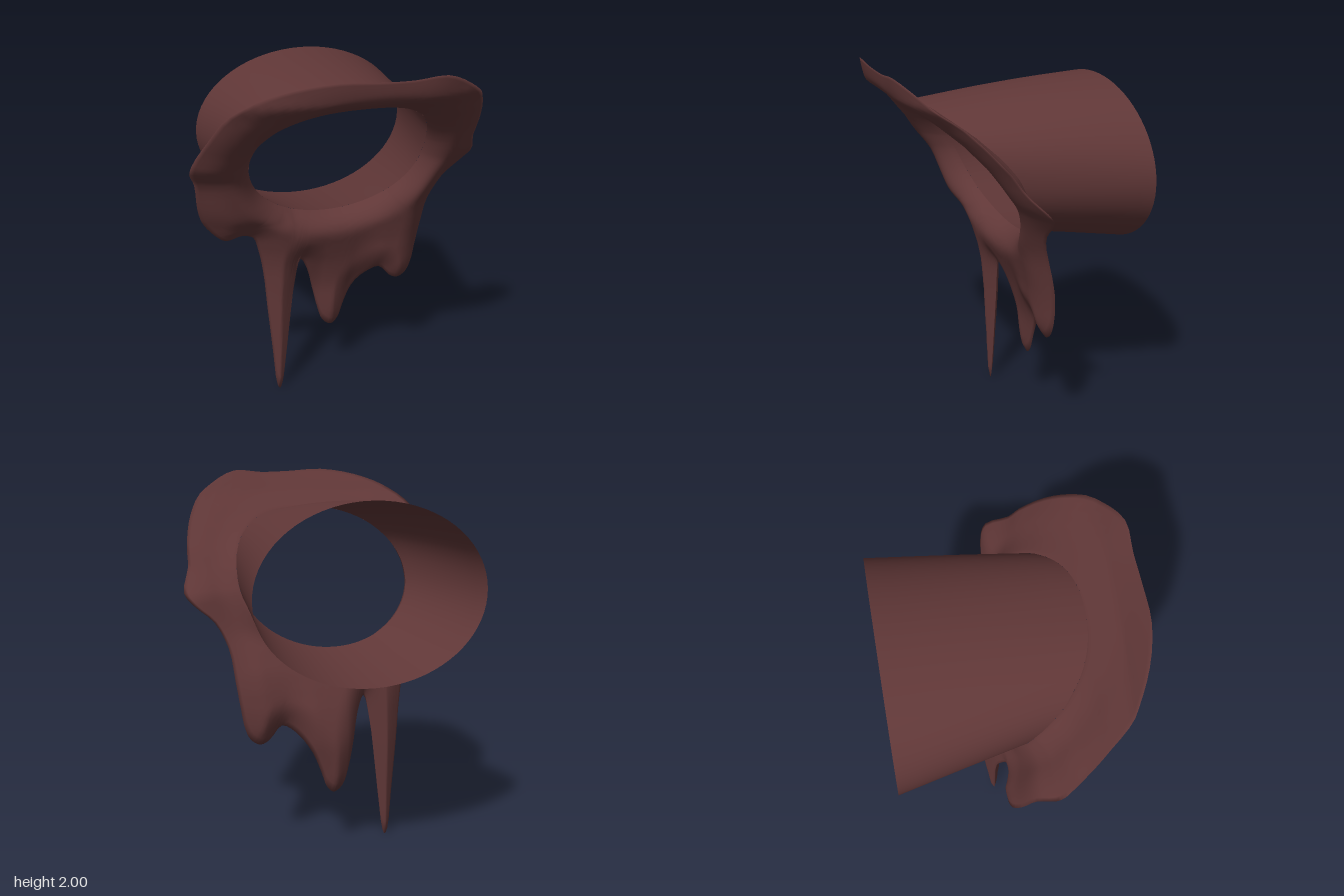
import * as THREE from 'three';

// Outer edge of the collar with its drips, clockwise from the top (x, y)
const OUTLINE = [
  -0.19, 2.0, 0, 1.99, 0.17, 1.985, 0.33, 1.995, 0.48, 1.93, 0.6, 1.84, 0.67, 1.73, 0.71, 1.6,
  0.72, 1.52, 0.77, 1.4, 0.73, 1.34, 0.63, 1.25, 0.57, 1.12, 0.55, 0.95, 0.53, 0.8, 0.51, 0.7,
  0.48, 0.64, 0.43, 0.61, 0.38, 0.63, 0.31, 0.7, 0.24, 0.66, 0.17, 0.56, 0.12, 0.44, 0.09, 0.36,
  0.05, 0.325, 0, 0.36, -0.03, 0.44, -0.07, 0.6, -0.11, 0.74, -0.155, 0.82, -0.19, 0.68, -0.22, 0.45,
  -0.25, 0.2, -0.275, 0.03, -0.29, 0, -0.305, 0.03, -0.325, 0.25, -0.35, 0.55, -0.37, 0.78, -0.4, 0.93,
  -0.43, 1.01, -0.49, 1.03, -0.57, 1.0, -0.62, 1.03, -0.69, 1.12, -0.72, 1.22, -0.74, 1.38, -0.775, 1.47,
  -0.77, 1.53, -0.71, 1.68, -0.63, 1.83, -0.53, 1.91, -0.38, 1.97,
];
// Depth of the collar's middle surface at each height (y, z)
const DEPTH = [
  [0, -0.11], [0.6, -0.11], [0.8, -0.1], [0.9, -0.085], [1.0, -0.06], [1.1, -0.03], [1.2, 0.015], [1.3, 0.055],
  [1.4, 0.095], [1.5, 0.145], [1.6, 0.215], [1.7, 0.305], [1.8, 0.425], [1.88, 0.545], [2.0, 0.64],
];
const CX = 0.012, CY = 1.45;
const { smoothstep, lerp } = THREE.MathUtils;

function depthAt(x, y) {
  let k = 0;
  while (k < DEPTH.length - 2 && y > DEPTH[k + 1][0]) k++;
  const [y0, z0] = DEPTH[k], [y1, z1] = DEPTH[k + 1];
  let z = lerp(z0, z1, (y - y0) / (y1 - y0));
  // Middle drip and the side lobes lean back, the top brim is bowed
  z -= 0.08 * (1 - smoothstep(y, 0.55, 1.05)) * (1 - smoothstep(Math.abs(x - 0.06), 0.08, 0.26));
  z -= 0.06 * smoothstep(Math.abs(x), 0.45, 0.75) * (1 - smoothstep(y, 1.35, 1.52));
  z -= 0.18 * (x - 0.1) ** 2 * smoothstep(y, 1.65, 1.95);
  return z;
}

// How far the collar rolls back into the sleeve at each height
const rollAt = (y) => lerp(0.07, 0.04, smoothstep(y, 1.5, 1.8));

// Point on the mouth opening in the direction of an outline point
function mouthPoint(p) {
  const a = Math.atan2(Math.max(p.y, 1.0) - CY, p.x - CX);
  const c = Math.cos(a), s = Math.sin(a), n = s > 0 ? 2.3 : 2;
  const r = (Math.abs(c / 0.475) ** n + Math.abs(s / 0.352) ** n) ** (-1 / n);
  return new THREE.Vector3(CX + r * c, CY + r * s, 0);
}

// Smooth surface through closed rings of equal length; columns[i][j]
function skin(columns) {
  const n = columns.length, m = columns[0].length, index = [];
  for (let i = 0; i < n; i++) {
    for (let j = 0; j < m - 1; j++) {
      const a = i * m + j, b = ((i + 1) % n) * m + j;
      index.push(a, b, b + 1, a, b + 1, a + 1);
    }
  }
  const g = new THREE.BufferGeometry().setFromPoints(columns.flat());
  g.setIndex(index);
  g.computeVertexNormals();
  return g;
}

export function createModel() {
  const group = new THREE.Group();
  const maroon = new THREE.MeshStandardMaterial({ color: 0x603737, side: THREE.DoubleSide });
  maroon.name = 'dark maroon';

  const points = [];
  for (let i = 0; i < OUTLINE.length; i += 2) points.push(new THREE.Vector3(OUTLINE[i], OUTLINE[i + 1], 0));
  const edge = new THREE.CatmullRomCurve3(points, true).getPoints(points.length * 3).slice(0, -1);
  const lines = edge.map((p, i) => new THREE.Line3(p, edge[(i + 1) % edge.length]));
  const near = new THREE.Vector3();
  const edgeDistance = (p) => Math.min(...lines.map((l) => l.closestPointToPoint(p, true, near).distanceTo(p)));

  // Collar: front skin swells between edge and mouth, back skin is flatter above the drips
  const ROWS = 18;
  const collar = edge.map((outer) => {
    const inner = mouthPoint(outer), front = [], back = [];
    const length = inner.distanceTo(outer);
    for (let j = 0; j <= ROWS; j++) {
      const t = (j / ROWS) ** 1.2;
      const p = inner.clone().lerp(outer, t);
      const d = j === ROWS ? 0 : Math.min(edgeDistance(p) / 0.15, 1);
      const rim = Math.min((t * length) / 0.13, 1);
      const h = 0.064 * Math.sin((d * Math.PI) / 2) * Math.sqrt(Math.sin((rim * Math.PI) / 2));
      const z = depthAt(p.x, p.y) - rollAt(p.y) * (1 - rim) ** 2;
      front.push(new THREE.Vector3(p.x, p.y, z + h));
      const thin = lerp(1, 0.35, smoothstep(p.y, 0.95, 1.2));
      if (j < ROWS) back.unshift(new THREE.Vector3(p.x, p.y, z - h * thin));
    }
    return [...front, ...back];
  });
  const collarMesh = new THREE.Mesh(skin(collar), maroon);
  collarMesh.name = 'drippingCollar';
  group.add(collarMesh);

  // Sleeve: open tube flaring back from the mouth, slightly arched on top
  const SIDES = 72, STEPS = 8;
  const sleeve = [];
  for (let i = 0; i < SIDES; i++) {
    const a = Math.PI / 2 - (i / SIDES) * Math.PI * 2;
    const c = Math.cos(a), s = Math.sin(a);
    const m = mouthPoint({ x: CX + 0.44 * c, y: CY + 0.44 * s });
    m.z = depthAt(m.x, m.y) - rollAt(m.y);
    const end = new THREE.Vector3(0.007 + 0.605 * c, 1.44 + 0.44 * s, -0.607 + 0.027 * s);
    sleeve.push(Array.from({ length: STEPS + 1 }, (_, j) => {
      const p = m.clone().lerp(end, j / STEPS);
      p.y += 0.012 * Math.max(s, 0) * Math.sin((j / STEPS) * Math.PI);
      return p;
    }));
  }
  const sleeveMesh = new THREE.Mesh(skin(sleeve), maroon);
  sleeveMesh.name = 'sleeve';
  group.add(sleeveMesh);

  return group;
}
